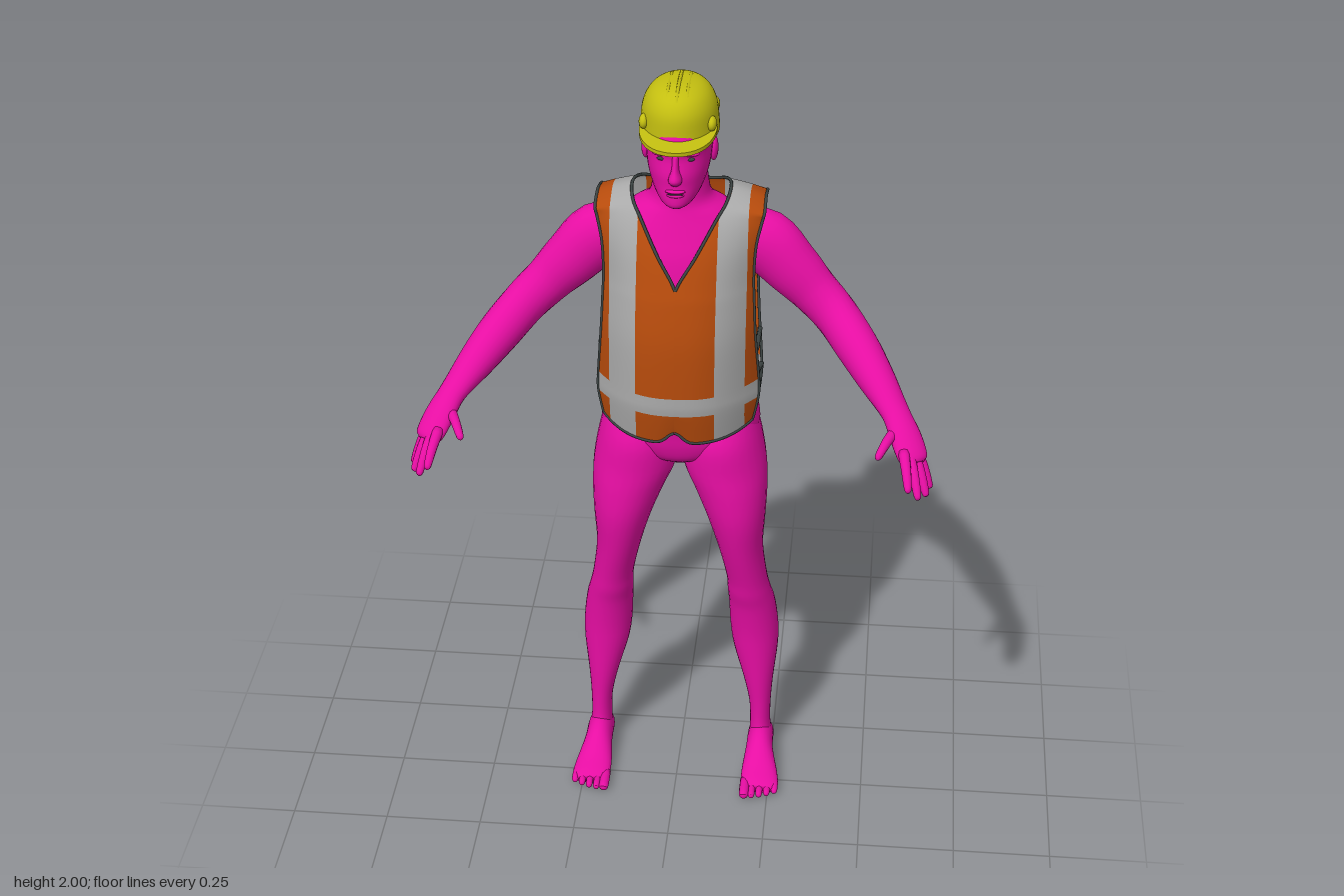
import * as THREE from 'three';

const material = (name, color, side = THREE.FrontSide) =>
  Object.assign(new THREE.MeshStandardMaterial({ color, side }), { name });
const V = (x, y, z) => new THREE.Vector3(x, y, z);

// Smooth (Catmull-Rom) reading of a table of number rows at position t
function sample(rows, t) {
  const n = rows.length - 1, i = Math.min(Math.floor(t), n - 1), f = t - i;
  const [a, b, c, d] = [-1, 0, 1, 2].map(k => rows[Math.min(Math.max(i + k, 0), n)]);
  return b.map((_, k) => b[k] + 0.5 * f * (c[k] - a[k] +
    f * (2 * a[k] - 5 * b[k] + 4 * c[k] - d[k] + f * (3 * (b[k] - c[k]) + d[k] - a[k]))));
}

// Closed skin over elliptical rings; ring(row, direction) gives centre and two half axes
function loft(rows, ring, segs = 24, sub = 4) {
  const pos = [], idx = [], count = (rows.length - 1) * sub;
  const centre = t => ring(sample(rows, t), V(0, 1, 0))[0];
  const ends = [];
  for (let i = 0; i <= count; i++) {
    const t = i / sub;
    const d = centre(Math.min(t + 0.1, rows.length - 1)).sub(centre(Math.max(t - 0.1, 0))).normalize();
    const [c, h, v] = ring(sample(rows, t), d);
    if (i === 0 || i === count) ends.push(c);
    for (let j = 0; j < segs; j++) {
      const a = j / segs * Math.PI * 2;
      pos.push(...c.clone().addScaledVector(h, Math.cos(a)).addScaledVector(v, Math.sin(a)).toArray());
      if (i < count) {
        const p = i * segs + j, q = i * segs + (j + 1) % segs;
        idx.push(p, p + segs, q, q, p + segs, q + segs);
      }
    }
  }
  const last = count * segs, e = last + segs;
  ends.forEach(c => pos.push(c.x, c.y, c.z));
  for (let j = 0; j < segs; j++) {
    const k = (j + 1) % segs;
    idx.push(e, j, k, e + 1, last + k, last + j);
  }
  const g = new THREE.BufferGeometry();
  g.setAttribute('position', new THREE.Float32BufferAttribute(pos, 3));
  g.setIndex(idx);
  g.computeVertexNormals();
  return g;
}
// Row [y, x0, x1, z0, z1]: level slice
const slab = ([y, x0, x1, z0, z1]) =>
  [V((x0 + x1) / 2, y, (z0 + z1) / 2), V((x1 - x0) / 2, 0, 0), V(0, 0, (z1 - z0) / 2)];
// Row [x, y, z, upright radius, level radius]: slice square to the path
function limb([x, y, z, rv, rh], d) {
  const h = V(0, 1, 0).cross(d).normalize();
  return [V(x, y, z), h.clone().multiplyScalar(rh), h.clone().cross(d).multiplyScalar(rv)];
}
const even = rows => rows.map(([y, w, z0, z1]) => [y, -w, w, z0, z1]);

// Vest from front hem over the shoulder to back hem:
// [y, z, inner x, outer x, edge shift in z, edge shift in y]
const VEST = [
  [1.085, 0.055, 0, 0.187, -0.10, 0], [1.17, 0.07, 0, 0.2, -0.12, 0], [1.22, 0.072, 0, 0.2, -0.125, 0],
  [1.35, 0.068, 0, 0.19, -0.11, 0], [1.45, 0.05, 0, 0.185, -0.1, 0], [1.5, 0.035, 0, 0.183, -0.09, 0],
  [1.58, 0.005, 0.048, 0.187, -0.065, 0], [1.65, -0.035, 0.088, 0.2, -0.04, -0.01],
  [1.69, -0.08, 0.112, 0.205, 0, -0.03], [1.712, -0.14, 0.12, 0.205, 0, -0.035],
  [1.70, -0.2, 0.108, 0.205, 0, -0.035], [1.68, -0.232, 0.075, 0.203, 0.015, -0.02],
  [1.66, -0.245, 0, 0.2, 0.025, -0.01], [1.55, -0.266, 0, 0.19, 0.045, 0], [1.4, -0.28, 0, 0.187, 0.08, 0],
  [1.22, -0.276, 0, 0.2, 0.11, 0], [1.17, -0.276, 0, 0.2, 0.11, 0], [1.08, -0.272, 0, 0.192, 0.09, 0],
];
const LAST = VEST.length - 1;
const edges = t => { const s = sample(VEST, t); return [Math.max(0, s[2]), s[3]]; };
function vestPoint(t, x) {
  const [y, z, , xo, dz, dy] = sample(VEST, t), u = x / xo, e = u ** 2.5;
  const front = Math.max(0, 1 - t), back = Math.max(0, t - LAST + 1);
  const hem = front * (0.03 * Math.exp(-((x / 0.025) ** 2)) + 0.022 * u ** 4) + back * 0.02 * u ** 4;
  return V(x, y + dy * e + hem, z + dz * e);
}
// Half of the vest; reflective bands are geometry groups
function vestHalf() {
  const pos = [], cells = [[], []], sub = 5, cols = 15, rows = LAST * sub;
  for (let i = 0; i <= rows; i++) {
    const t = i / sub, [xi, xo] = edges(t);
    const a = Math.max(0.097, xi + 0.004), stops = [xi, a, Math.max(0.168, a + 0.03), xo];
    for (let j = 0; j <= cols; j++) {
      const k = Math.min(Math.floor(j / 5), 2), f = j / 5 - k;
      pos.push(...vestPoint(t, stops[k] + (stops[k + 1] - stops[k]) * f).toArray());
      if (i === rows || j === cols) continue;
      const seg = Math.floor(t), p = i * (cols + 1) + j, q = p + cols + 1;
      const band = k === 1 || seg === 1 || seg === LAST - 2;
      cells[band ? 1 : 0].push(p, p + 1, q, p + 1, q + 1, q);
    }
  }
  const g = new THREE.BufferGeometry();
  g.setAttribute('position', new THREE.Float32BufferAttribute(pos, 3));
  g.setIndex([...cells[0], ...cells[1]]);
  g.addGroup(0, cells[0].length, 0);
  g.addGroup(cells[0].length, cells[1].length, 1);
  g.computeVertexNormals();
  return g;
}
const cord = (points, r = 0.004) =>
  new THREE.TubeGeometry(new THREE.CatmullRomCurve3(points), points.length * 3, r, 6);
const steps = (a, b, n, f) => Array.from({ length: n + 1 }, (_, i) => f(a + (b - a) * i / n));

export function createModel() {
  const skin = material('skin', 0xe80ea4), orange = material('vestOrange', 0xb64b0c, THREE.DoubleSide);
  const silver = material('reflectiveBand', 0xa9a9a9, THREE.DoubleSide);
  const yellow = material('helmetYellow', 0xc4bf10), dark = material('darkTrim', 0x3c4443);
  const model = new THREE.Group();
  const add = (parent, name, geometry, mat) => {
    const m = new THREE.Mesh(geometry, mat);
    m.name = name;
    parent.add(m);
    return m;
  };
  const ball = (parent, name, mat, p, s) => {
    const m = add(parent, name, new THREE.SphereGeometry(1, 20, 14), mat);
    m.position.set(...p);
    m.scale.set(...s);
    return m;
  };

  // Torso and neck
  add(model, 'torso', loft(even([
    [0.965, 0.05, -0.14, -0.05], [0.99, 0.13, -0.2, -0.02], [1.03, 0.19, -0.232, -0.005], [1.08, 0.202, -0.245, 0.003],
    [1.15, 0.19, -0.24, 0.02], [1.25, 0.172, -0.225, 0.03], [1.35, 0.172, -0.23, 0.03], [1.45, 0.18, -0.245, 0.018],
    [1.55, 0.184, -0.245, 0.002], [1.61, 0.175, -0.23, -0.018], [1.66, 0.125, -0.21, -0.035],
    [1.69, 0.08, -0.19, -0.042], [1.73, 0.068, -0.182, -0.042], [1.78, 0.064, -0.18, -0.04]]), slab, 36), skin);

  // Head and face
  const head = new THREE.Group();
  head.name = 'head';
  model.add(head);
  add(head, 'skull', loft(even([
    [1.712, 0.018, -0.03, 0.022], [1.722, 0.036, -0.07, 0.034], [1.74, 0.053, -0.12, 0.036], [1.77, 0.067, -0.155, 0.034],
    [1.80, 0.075, -0.178, 0.035], [1.84, 0.08, -0.187, 0.029], [1.87, 0.082, -0.19, 0.033], [1.92, 0.08, -0.185, 0.01],
    [1.96, 0.05, -0.15, -0.03]]), slab, 32), skin);
  add(head, 'nose', loft(even([[1.778, 0.006, 0.02, 0.04], [1.785, 0.015, 0.01, 0.05], [1.797, 0.016, 0.01, 0.058],
    [1.82, 0.009, 0.01, 0.048], [1.855, 0.008, 0, 0.036]]), slab, 16), skin);
  ball(head, 'upperLip', skin, [0, 1.762, 0.031], [0.024, 0.005, 0.01]);
  ball(head, 'lowerLip', skin, [0, 1.752, 0.03], [0.021, 0.006, 0.01]);
  add(head, 'mouthLine', new THREE.BoxGeometry(0.036, 0.002, 0.004), dark).position.set(0, 1.757, 0.037);

  // Helmet: shell, visor and ribs
  const helmet = new THREE.Group();
  helmet.name = 'helmet';
  model.add(helmet);
  add(helmet, 'shell', loft(even([
    [1.862, 0.088, -0.203, 0.018], [1.872, 0.094, -0.207, 0.023], [1.90, 0.093, -0.205, 0.023], [1.94, 0.088, -0.2, 0.02],
    [1.97, 0.074, -0.186, 0.004], [1.988, 0.052, -0.163, -0.024], [1.996, 0.022, -0.125, -0.06]]), slab, 40), yellow);
  const visor = new THREE.Shape();
  visor.moveTo(-0.092, -0.06);
  visor.bezierCurveTo(-0.095, 0.02, -0.06, 0.078, 0, 0.079);
  visor.bezierCurveTo(0.06, 0.078, 0.095, 0.02, 0.092, -0.06);
  const brim = add(helmet, 'visor', new THREE.ExtrudeGeometry(visor,
    { depth: 0.01, bevelEnabled: false, curveSegments: 20 }), yellow);
  brim.rotation.x = Math.PI / 2 + 0.1;
  brim.position.y = 1.89;
  for (const x of [-0.045, -0.023, 0, 0.023, 0.045]) {
    const drop = x * x * 7;
    add(helmet, 'rib', cord([V(x, 1.92, 0.015 - drop * 1.5), V(x, 1.965 - drop, 0.002 - drop),
      V(x, 1.989 - drop, -0.035), V(x, 1.995 - drop, -0.09), V(x, 1.989 - drop, -0.15),
      V(x, 1.96 - drop, -0.186 + drop), V(x, 1.92, -0.2 + drop * 1.5)], 0.005), yellow);
  }

  for (const side of [1, -1]) {
    const half = new THREE.Group();
    half.name = side > 0 ? 'leftHalf' : 'rightHalf';
    half.scale.x = side;
    model.add(half);

    // Ear, eye, brow and helmet bosses
    ball(half, 'ear', skin, [0.081, 1.825, -0.088], [0.011, 0.032, 0.02]);
    ball(half, 'eye', dark, [0.032, 1.84, 0.017], [0.013, 0.005, 0.005]);
    ball(half, 'brow', skin, [0.032, 1.856, 0.02], [0.024, 0.007, 0.01]);
    ball(half, 'helmetBossFront', yellow, [0.08, 1.91, -0.035], [0.012, 0.018, 0.02]);
    ball(half, 'helmetBossBack', yellow, [0.078, 1.91, -0.15], [0.012, 0.018, 0.02]);

    // Arm with palm
    add(half, 'arm', loft([
      [0.12, 1.585, -0.14, 0.055, 0.05], [0.2, 1.56, -0.142, 0.08, 0.064], [0.27, 1.495, -0.132, 0.072, 0.06],
      [0.33, 1.435, -0.122, 0.061, 0.054], [0.385, 1.385, -0.095, 0.058, 0.052], [0.44, 1.333, -0.035, 0.055, 0.052],
      [0.49, 1.283, 0.03, 0.045, 0.046], [0.53, 1.242, 0.085, 0.031, 0.038], [0.547, 1.222, 0.11, 0.027, 0.036],
      [0.568, 1.19, 0.145, 0.025, 0.04], [0.588, 1.155, 0.182, 0.018, 0.038], [0.594, 1.145, 0.192, 0.01, 0.025],
    ], limb), skin);
    // Fingers: root, then tip
    const fingers = [
      ['thumb', [0.545, 1.2, 0.13], [0.502, 1.176, 0.23]], ['indexFinger', [0.565, 1.17, 0.185], [0.58, 1.117, 0.28]],
      ['middleFinger', [0.58, 1.16, 0.185], [0.605, 1.085, 0.26]], ['ringFinger', [0.592, 1.155, 0.172], [0.625, 1.072, 0.222]],
      ['littleFinger', [0.597, 1.155, 0.152], [0.634, 1.067, 0.175]]];
    for (const [name, a, b] of fingers) {
      const at = (f, r, lift = 0) => [a[0] + (b[0] - a[0]) * f, a[1] + (b[1] - a[1]) * f + lift, a[2] + (b[2] - a[2]) * f, r, r];
      add(half, name, loft([at(0, 0.014), at(0.5, 0.012, 0.006), at(0.92, 0.009), at(1, 0.003)], limb, 12, 3), skin);
    }

    // Leg
    add(half, 'leg', loft([
      [0.015, 0.2, 0.24, -0.18, -0.09], [0.05, 0.19, 0.25, -0.188, -0.08], [0.1, 0.19, 0.245, -0.178, -0.095],
      [0.17, 0.187, 0.245, -0.175, -0.095], [0.25, 0.17, 0.25, -0.185, -0.09], [0.35, 0.142, 0.26, -0.205, -0.085],
      [0.42, 0.132, 0.26, -0.212, -0.08], [0.5, 0.128, 0.25, -0.203, -0.068], [0.55, 0.125, 0.238, -0.185, -0.055],
      [0.6, 0.122, 0.228, -0.177, -0.045], [0.7, 0.1, 0.217, -0.178, -0.02], [0.8, 0.07, 0.222, -0.19, 0],
      [0.88, 0.038, 0.225, -0.207, 0.003], [0.95, 0.008, 0.222, -0.228, 0], [1.03, 0.008, 0.208, -0.243, -0.003],
      [1.1, 0.04, 0.19, -0.22, -0.03]], slab, 28), skin);
    // Foot and toes
    add(half, 'foot', loft([
      [0.22, 0.03, -0.19, 0.015, 0.014], [0.22, 0.038, -0.17, 0.037, 0.032], [0.22, 0.05, -0.12, 0.05, 0.035],
      [0.22, 0.049, -0.08, 0.049, 0.036], [0.222, 0.037, -0.04, 0.037, 0.042], [0.225, 0.026, 0, 0.026, 0.048],
      [0.228, 0.018, 0.04, 0.018, 0.05], [0.228, 0.013, 0.062, 0.012, 0.044]], limb), skin);
    for (let i = 0; i < 5; i++) {
      const x = 0.189 + i * 0.02, r = i ? 0.009 : 0.013, tip = 0.098 - i * i * 0.0016;
      add(half, 'toe', loft([[x, 0.018, 0.03, r, r], [x, 0.016, tip - 0.015, r, r], [x, 0.013, tip - 0.004, r * 0.8, r * 0.8],
        [x, 0.012, tip, 0.003, 0.003]], limb, 12, 3), skin);
    }

    // Vest half with dark edging and side straps
    add(half, 'vest', vestHalf(), [orange, silver]);
    add(half, 'armholeTrim', cord(steps(0, LAST, 50, t => vestPoint(t, edges(t)[1]))), dark);
    add(half, 'neckTrim', cord(steps(5, 12, 24, t => vestPoint(t, edges(t)[0]))), dark);
    for (const t of [0, LAST])
      add(half, 'hemTrim', cord(steps(0, 1, 16, f => vestPoint(t, f * edges(t)[1]))), dark);
    for (const [t0, t1, y] of [[1.8, 15.2, 1.21], [2.65, 14.55, 1.305]]) {
      const a = vestPoint(t0, edges(t0)[1]), b = vestPoint(t1, edges(t1)[1]);
      add(half, 'sideStrap', cord([a, V(0.194, y - 0.005, -0.11), b], 0.006), dark);
    }
  }
  return model;
}
